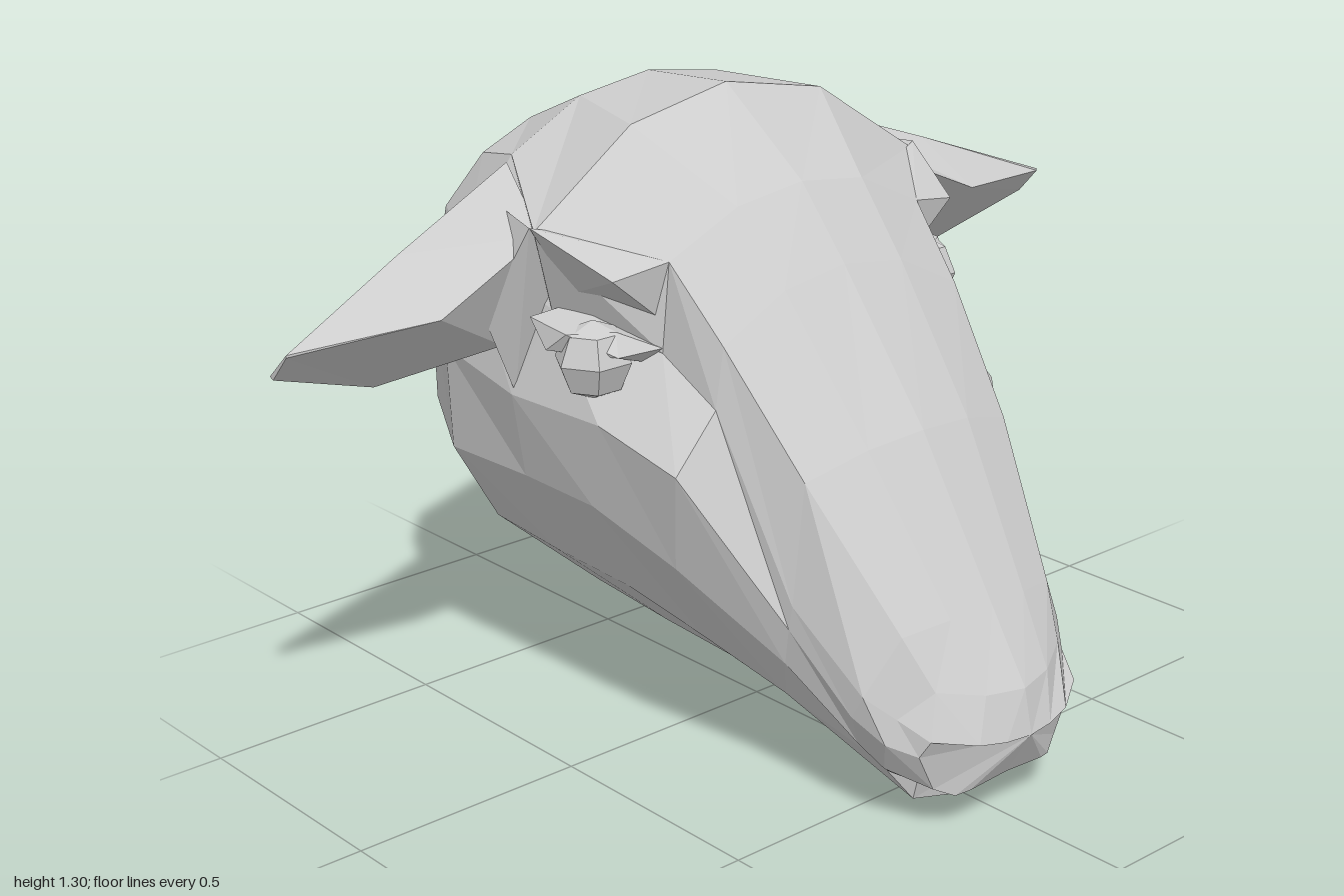
import * as THREE from 'three';
import { ConvexGeometry } from 'three/addons/geometries/ConvexGeometry.js';

const grey = new THREE.MeshStandardMaterial({ color: 0xcccccc });
grey.name = 'plain grey';

// Faceted skin over a series of closed loops; each loop runs clockwise along the travel direction
function loft(loops) {
  const pos = [];
  const tri = (a, b, c) => {
    const [p, q, r] = [a, b, c].map((v) => new THREE.Vector3(...v));
    if (q.sub(p).cross(r.sub(p)).length() > 1e-7) pos.push(...a, ...b, ...c);
  };
  const n = loops[0].length;
  for (let i = 0; i < loops.length - 1; i++) {
    for (let j = 0; j < n; j++) {
      const k = (j + 1) % n;
      const a = loops[i][j], b = loops[i][k], c = loops[i + 1][k], d = loops[i + 1][j];
      tri(a, b, c);
      tri(a, c, d);
    }
  }
  const first = loops[0], last = loops[loops.length - 1];
  for (let j = 1; j < n - 1; j++) {
    tri(first[0], first[j + 1], first[j]);
    tri(last[0], last[j], last[j + 1]);
  }
  const g = new THREE.BufferGeometry();
  g.setAttribute('position', new THREE.Float32BufferAttribute(pos, 3));
  g.computeVertexNormals();
  return g;
}

// Half sections: top, ridge, socket, cheek, mid, low, jaw edge, underside
const muzzleRows = [
  [[0, .19, .77], [.12, .20, .75], [.20, .215, .70], [.21, .18, .68], [.17, .10, .68], [.13, .08, .70], [.10, .085, .71], [0, .09, .71]],
  [[0, .28, .75], [.17, .30, .68], [.23, .25, .64], [.25, .20, .63], [.22, .13, .60], [.18, .10, .58], [.13, .07, .60], [0, .06, .61]],
  [[0, .42, .66], [.20, .40, .62], [.27, .29, .59], [.27, .24, .56], [.24, .17, .55], [.19, .12, .55], [.13, .03, .59], [0, 0, .60]],
  [[0, .72, .47], [.27, .67, .43], [.30, .43, .43], [.30, .38, .42], [.29, .30, .40], [.25, .21, .36], [.18, .15, .35], [0, .11, .34]],
  [[0, 1.0, .25], [.31, .90, .25], [.33, .78, .25], [.43, .67, .25], [.39, .46, .20], [.28, .27, .15], [.20, .20, .14], [0, .135, .16]],
];
const skullRows = [
  [[0, 1.14, .13], [.33, 1.04, .12], [.34, .86, .11], [.46, .73, .06], [.43, .54, 0], [.32, .33, -.03], [.22, .225, -.03], [0, .165, -.03]],
  [[0, 1.30, -.09], [.50, 1.09, -.07], [.44, .92, -.10], [.49, .74, -.17], [.44, .55, -.20], [.33, .345, -.25], [.23, .25, -.24], [0, .165, -.27]],
  [[0, 1.285, -.33], [.36, 1.17, -.32], [.45, 1.0, -.36], [.48, .78, -.40], [.45, .55, -.43], [.33, .36, -.45], [.20, .26, -.42], [0, .22, -.42]],
  [[0, 1.19, -.54], [.32, 1.14, -.47], [.36, 1.02, -.55], [.37, .80, -.60], [.36, .59, -.61], [.28, .43, -.60], [.13, .31, -.58], [0, .27, -.58]],
  [[0, 1.01, -.70], [0, 1.01, -.70], [0, 1.0, -.705], [0, .80, -.77], [0, .54, -.77], [0, .43, -.72], [0, .32, -.63], [0, .27, -.58]],
];

// Rounds the crown with one extra point, then mirrors the half section
function fullLoop(half) {
  const [t, r] = half;
  const crown = [r[0] * .5, t[1] + (r[1] - t[1]) * .22, t[2] + (r[2] - t[2]) * .3];
  const side = [crown, ...half.slice(1, -1)];
  const mirrored = side.map(([x, y, z]) => [-x, y, z]).reverse();
  return [t, ...side, half[half.length - 1], ...mirrored];
}

// Ear sections from root to tip: top ridge, front edge, lower edge, back
const earLoops = [
  [[.38, 1.16, -.31], [.46, 1.07, -.10], [.50, .84, -.18], [.44, 1.02, -.34]],
  [[.70, 1.05, -.23], [.71, .96, -.08], [.76, .80, -.24], [.65, .99, -.285]],
  [[1, .94, -.15], [1, .935, -.15], [1, .88, -.20], [1, .885, -.21]],
];
const browPoints = [[.33, 1.04, .12], [.45, 1.02, .10], [.51, 1.10, -.07], [.33, .92, .10], [.43, .96, -.05], [.30, 1.05, 0]];
const earBasePoints = [[.51, 1.10, -.07], [.57, .92, -.14], [.48, .74, -.17], [.42, 1.0, -.10], [.42, .82, -.22], [.45, 1.1, -.25]];
const lidPoints = [[.34, .87, .11], [.42, .91, .07], [.50, .91, .02], [.50, .92, -.09], [.40, .93, -.08], [.36, .84, .08], [.51, .87, -.03], [.44, .87, .10]];

export function createModel() {
  const model = new THREE.Group();
  model.name = 'animalHead';
  const add = (name, geometry) => {
    const mesh = new THREE.Mesh(geometry, grey);
    mesh.name = name;
    model.add(mesh);
    return mesh;
  };

  add('head', loft([...muzzleRows, ...skullRows].map(fullLoop)));

  for (const s of [1, -1]) {
    const side = s > 0 ? 'left' : 'right';
    const flip = ([x, y, z]) => [s * x, y, z];
    const hull = (pts) => new ConvexGeometry(pts.map((p) => new THREE.Vector3(...flip(p))));

    add(side + 'Ear', loft(earLoops.map((l) => (s > 0 ? l : l.map(flip).reverse()))));
    add(side + 'EarBase', hull(earBasePoints));
    add(side + 'Brow', hull(browPoints));
    add(side + 'Eyelid', hull(lidPoints));

    // Faceted eyeball
    const ball = new THREE.SphereGeometry(.078, 6, 4).toNonIndexed();
    ball.computeVertexNormals();
    add(side + 'Eye', ball).position.set(s * .44, .85, .025);
  }
  return model;
}
